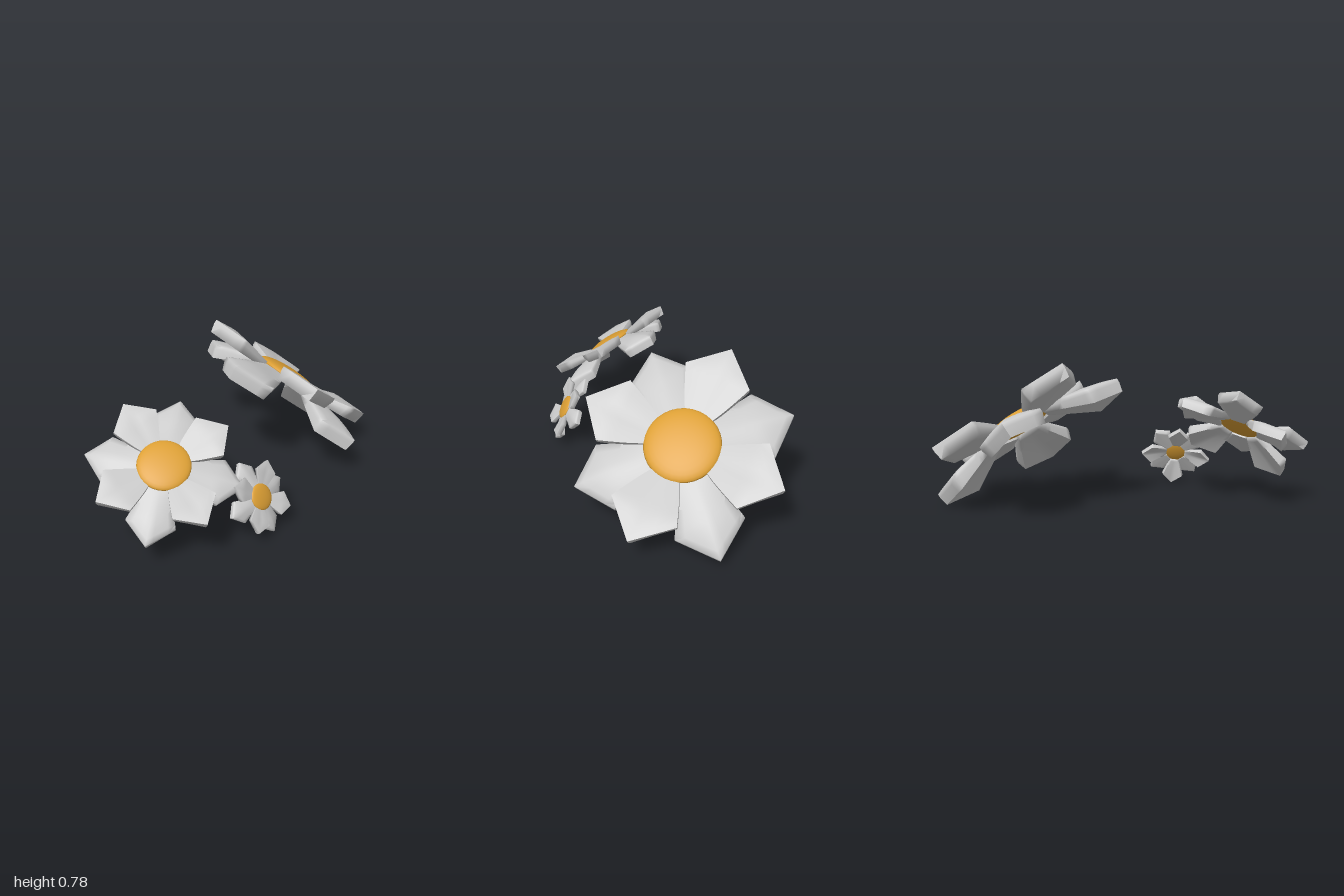
import * as THREE from 'three';
import { toCreasedNormals } from 'three/addons/utils/BufferGeometryUtils.js';

const petalMaterial = new THREE.MeshStandardMaterial({ color: 0xcccccc });
const centreMaterial = new THREE.MeshStandardMaterial({ color: 0xdc9f34 });

// Thick petal along +z: narrow base, wide near the blunt point, top rounded down to its rim
function petalGeometry(tipRadius, tipHeight) {
  const geometry = new THREE.BoxGeometry(2, 1, 1, 8, 2, 10);
  const pos = geometry.attributes.position;
  const base = 0.15, corner = tipRadius - 0.16;
  for (let i = 0; i < pos.count; i++) {
    const s = pos.getX(i), side = pos.getY(i), t = pos.getZ(i) + 0.5;
    const end = THREE.MathUtils.lerp(tipRadius, corner, Math.abs(s));
    const inset = side < 0 ? 0.9 : 1;
    const width = (0.06 + 0.115 * Math.pow(t, 0.85)) * inset;
    const thickness = 0.04 + 0.065 * t;
    const middle = -0.02 + (tipHeight + 0.02) * t;
    const rim = Math.max(s * s * t, Math.pow(Math.max(0, t - 0.5) * 2, 2));
    const drop = side > 0 ? 0.03 * rim : 0;
    const reach = base + t * (end - base) * (side < 0 ? 0.97 : 1);
    pos.setXYZ(i, s * width, middle + side * thickness - drop, reach);
  }
  return toCreasedNormals(geometry, 1.35);
}

const lowerPetal = petalGeometry(0.57, -0.11);
const upperPetal = petalGeometry(0.54, 0.025);

// Flattened round flower centre
const centreGeometry = new THREE.SphereGeometry(0.192, 32, 16).scale(1, 0.23, 1);

// A flower with its normal and the direction of its first drooping petal
function flower(name, centre, normal, firstPetal, scale) {
  const group = new THREE.Group();
  group.name = name;
  const n = new THREE.Vector3(...normal).normalize();
  const z = new THREE.Vector3(...firstPetal).projectOnPlane(n).normalize();
  const x = new THREE.Vector3().crossVectors(n, z);
  group.quaternion.setFromRotationMatrix(new THREE.Matrix4().makeBasis(x, n, z));
  group.position.set(...centre);
  group.scale.setScalar(scale);

  const disc = new THREE.Mesh(centreGeometry, centreMaterial);
  disc.name = 'flowerCentre';
  group.add(disc);

  // Drooping and raised petals alternate
  for (let i = 0; i < 8; i++) {
    const lower = i % 2 === 0;
    const petal = new THREE.Mesh(lower ? lowerPetal : upperPetal, petalMaterial);
    petal.name = lower ? 'lowerPetal' : 'upperPetal';
    petal.rotation.y = (i * Math.PI) / 4;
    group.add(petal);
  }
  return group;
}

export function createModel() {
  const model = new THREE.Group();
  model.name = 'flowers';
  model.add(
    flower('largeFlower', [0.035, 0.445, -0.537], [0.345, 0.8, -0.495], [-0.085, 0.15, 0.55], 1),
    flower('mediumFlower', [-0.03, 0.42, 0.665], [0.36, 0.8, 0.45], [0.07, -0.26, 0.27], 0.69),
    flower('smallFlower', [0.352, 0.207, 0.383], [0.85, 0.48, 0.18], [0.05, -0.2, -0.015], 0.35)
  );
  return model;
}
